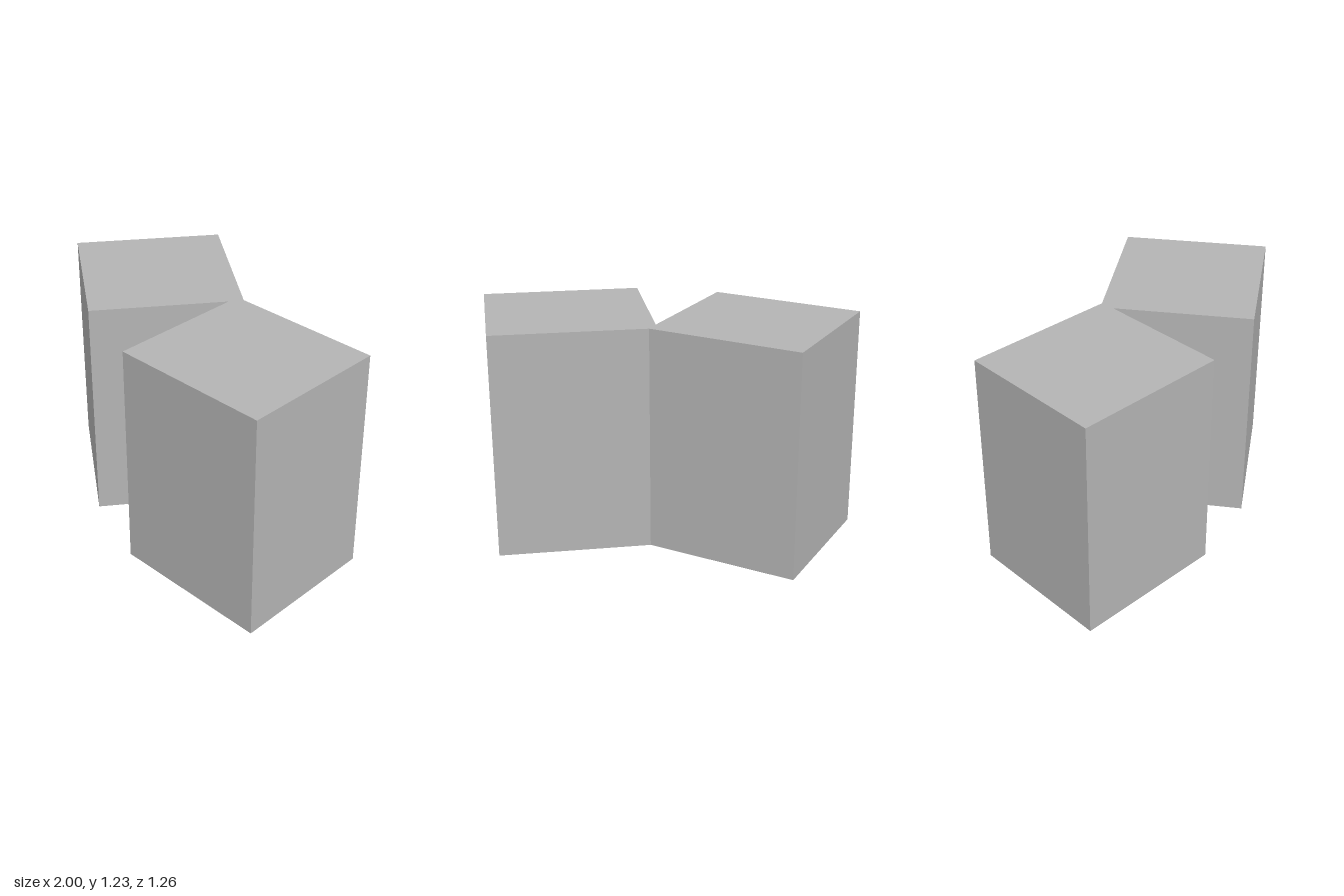
import * as THREE from 'three';

const HEIGHT = 1.225;

// Footprint as [x, z]: two square blocks turned against each other, joined at a narrow neck
const FOOTPRINT = [
  [-1, 0.03], [-0.3, 0.495], [0.1, -0.1], [0.14, 0.63],
  [1, 0.585], [0.955, -0.208], [0.14, -0.168], [-0.553, -0.634],
];

export function createModel() {
  const group = new THREE.Group();
  group.name = 'joinedBlocks';

  const grey = new THREE.MeshStandardMaterial({ color: 0xb4b4b4 });
  grey.name = 'grey';

  // Shape lies in x / -z, then is stood upright
  const outline = new THREE.Shape(FOOTPRINT.map(([x, z]) => new THREE.Vector2(x, -z)));
  const geometry = new THREE.ExtrudeGeometry(outline, { depth: HEIGHT, bevelEnabled: false });
  geometry.rotateX(-Math.PI / 2);

  const blocks = new THREE.Mesh(geometry, grey);
  blocks.name = 'twinBlockBody';
  group.add(blocks);
  return group;
}
